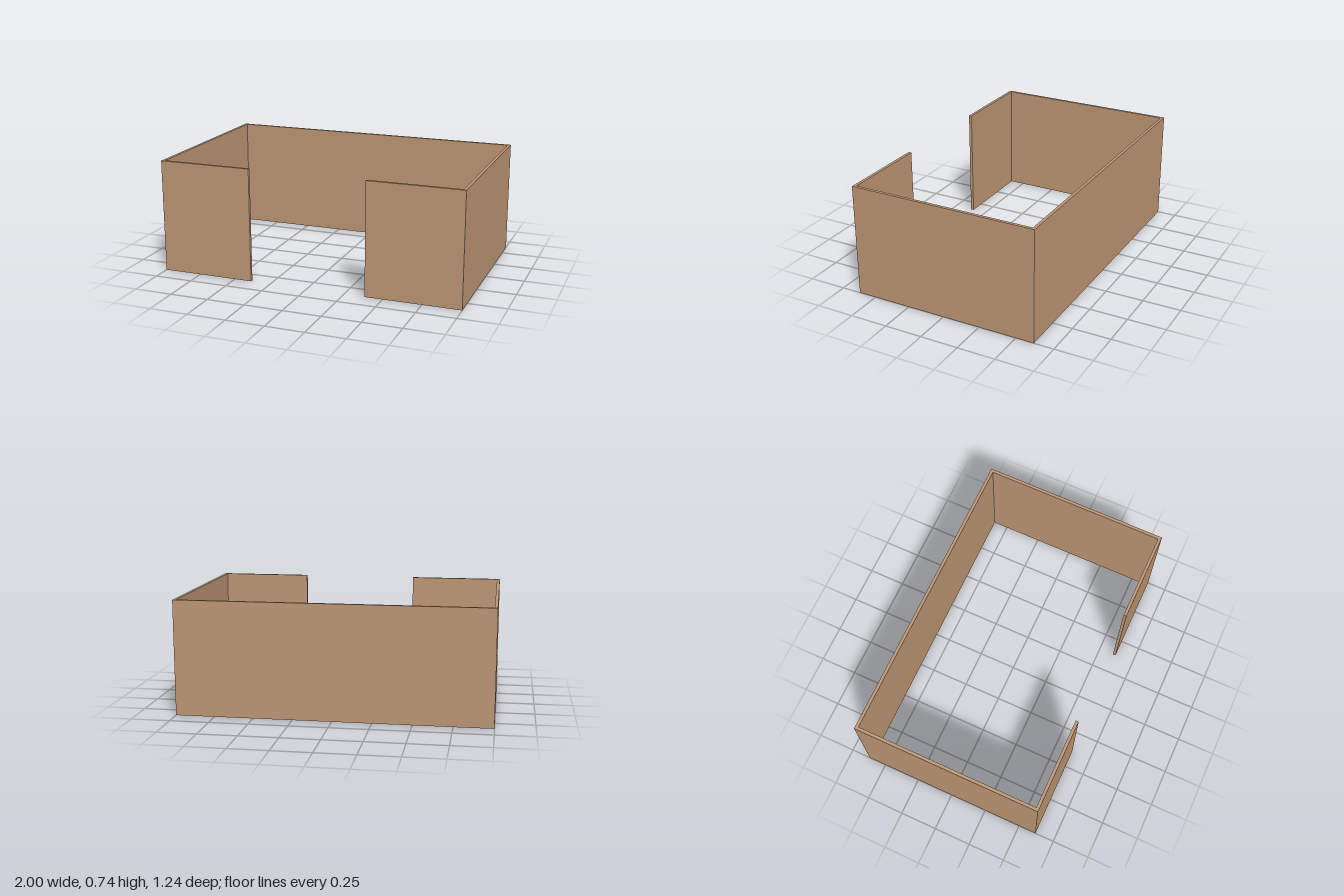
import * as THREE from 'three';

const HEIGHT = 0.74, THICK = 0.02, HALF_X = 1, HALF_Z = 0.62, GAP = 0.385;

export function createModel() {
  const group = new THREE.Group();
  group.name = 'walledEnclosure';
  const tan = new THREE.MeshStandardMaterial({ color: 0xbc9573 });
  tan.name = 'tan';

  // Full-width back wall
  const back = new THREE.Mesh(new THREE.BoxGeometry(HALF_X * 2, HEIGHT, THICK), tan);
  back.name = 'backWall';
  back.position.set(0, HEIGHT / 2, -HALF_Z + THICK / 2);
  group.add(back);

  // L-shaped side wall with a front return, drawn as a floor plan (x, z)
  const plan = [
    [HALF_X, -HALF_Z + THICK], [HALF_X, HALF_Z], [GAP, HALF_Z],
    [GAP, HALF_Z - THICK], [HALF_X - THICK, HALF_Z - THICK], [HALF_X - THICK, -HALF_Z + THICK],
  ];
  for (const [name, side] of [['left', 1], ['right', -1]]) {
    const shape = new THREE.Shape(plan.map(([x, z]) => new THREE.Vector2(side * x, -z)));
    const geometry = new THREE.ExtrudeGeometry(shape, { depth: HEIGHT, bevelEnabled: false });
    geometry.rotateX(-Math.PI / 2);
    const wall = new THREE.Mesh(geometry, tan);
    wall.name = name + 'SideAndFrontWall';
    group.add(wall);
  }
  return group;
}
